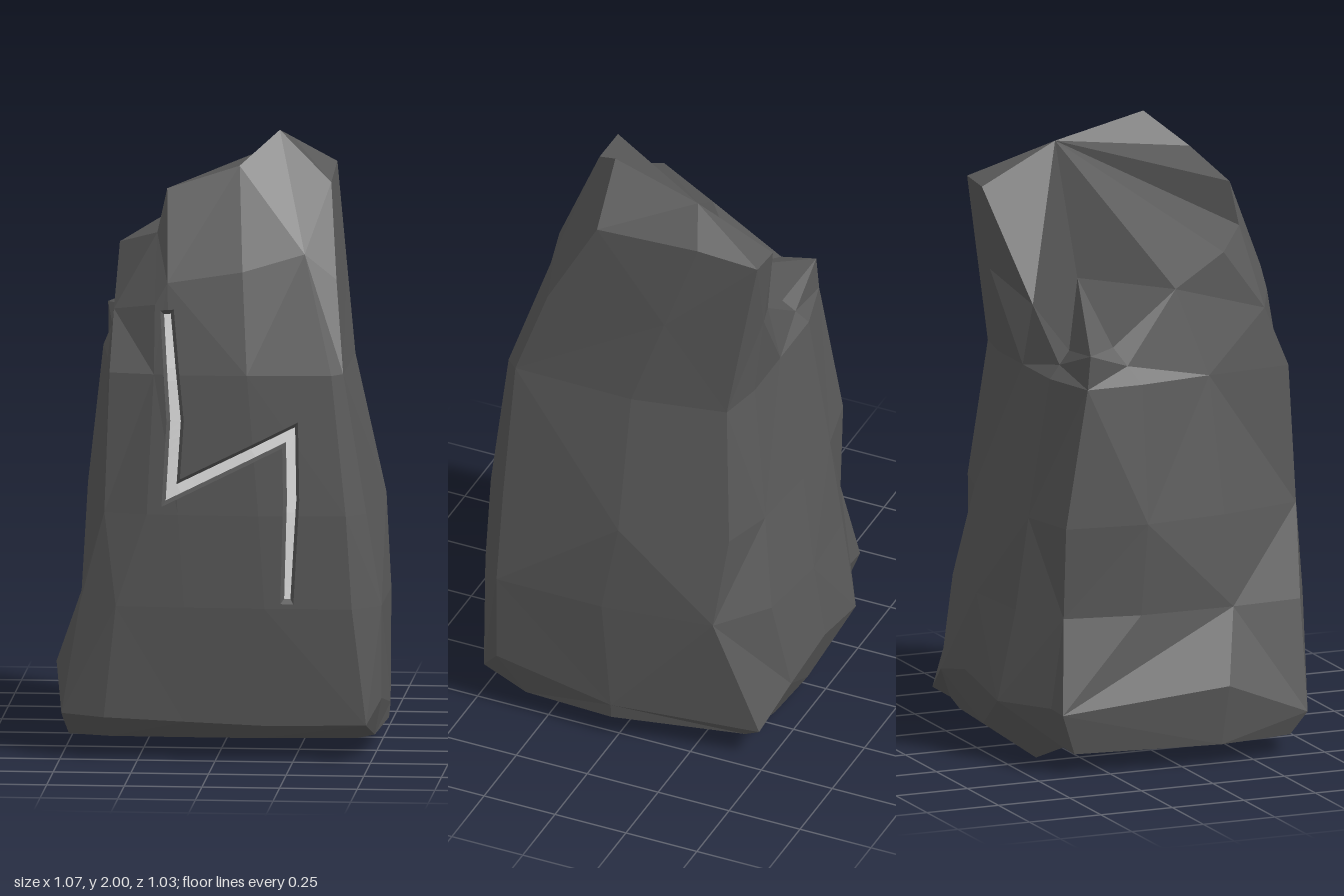
import * as THREE from 'three';

// Cross-sections [x, z, ...], running from the front left corner round past +x and the back
const sections = [
  { y: [0.14, 0.135, 0.125, 0.115, 0.12, 0.2, 0.12, 0.1, 0.2, 0.25, 0.2, 0.2, 0.2, 0.26],
    p: [-0.50, 0.44, -0.36, 0.485, -0.10, 0.49, 0.16, 0.49, 0.485, 0.485, 0.53, 0.42, 0.525, 0.02,
      0.44, -0.465, 0.28, -0.505, 0.05, -0.52, -0.20, -0.515, -0.37, -0.40, -0.475, -0.405, -0.54, 0.15] },
  { y: 0.5, p: [-0.44, 0.44, -0.32, 0.50, -0.10, 0.51, 0.16, 0.515, 0.44, 0.50, 0.53, 0.42, 0.53, 0.05,
    0.48, -0.32, 0.31, -0.45, 0.05, -0.48, -0.22, -0.46, -0.40, -0.37, -0.45, -0.12, -0.455, 0.20] },
  { y: 0.8, p: [-0.36, 0.46, -0.22, 0.50, -0.12, 0.505, 0.14, 0.51, 0.42, 0.49, 0.48, 0.42, 0.51, 0.00,
    0.42, -0.35, 0.25, -0.40, 0.00, -0.42, -0.22, -0.415, -0.42, -0.37, -0.46, -0.10, -0.43, 0.18] },
  { y: 1.25, p: [-0.345, 0.44, -0.20, 0.465, -0.15, 0.475, 0.10, 0.475, 0.37, 0.45, 0.405, 0.41, 0.41, 0.00,
    0.35, -0.31, 0.20, -0.34, 0.00, -0.34, -0.22, -0.34, -0.41, -0.29, -0.41, -0.10, -0.375, 0.15] },
];
// Broken upper rim [x, y, z, ...]
const rim = [-0.33, 1.64, 0.22, -0.20, 1.69, 0.33, -0.17, 1.83, 0.31, 0.06, 1.90, 0.27, 0.18, 2.00, 0.16,
  0.345, 1.83, 0.15, 0.335, 1.84, -0.20, 0.31, 1.81, -0.40, 0.19, 1.80, -0.40, 0.01, 1.44, -0.30,
  -0.19, 1.33, -0.26, -0.41, 1.36, -0.28, -0.36, 1.37, -0.18, -0.335, 1.535, 0.05];
const COLS = 14;
const V = (x, y, z) => new THREE.Vector3(x, y, z);

// Geometry from a flat list of triangle corners
function fromCorners(points) {
  const g = new THREE.BufferGeometry().setFromPoints(points);
  g.computeVertexNormals();
  return g;
}

// Corners of the uncut stone
function stoneCorners() {
  const rings = sections.map(({ y, p }) => Array.from({ length: COLS }, (_, i) =>
    V(p[2 * i], Array.isArray(y) ? y[i] : y, p[2 * i + 1])));
  const top = Array.from({ length: COLS }, (_, i) => V().fromArray(rim, 3 * i));

  // Slightly bulged ring halfway to the rim
  const shoulder = top.map((t, i) => {
    const m = t.clone().lerp(rings[3][i], 0.5);
    if (i < 6) m.z += 0.03;
    return m;
  });

  // Drawn-in foot with a low point at the back
  const foot = rings[0].map((v) => V(v.x * 0.96, 0.065, v.z * 0.88));
  foot[4].set(0.45, 0.065, 0.4);
  foot[5].set(0.5, 0.065, 0.33);
  foot[6].set(0.52, 0.07, 0.02);
  foot[10].set(-0.2, 0, -0.38);

  const all = [foot, ...rings, shoulder, top];
  const out = [];
  const crown = V(0.2, 1.925, -0.14);
  const hollow = V(-0.05, 1.53, -0.17);
  const base = V(0, 0.06, 0);
  for (let i = 0; i < COLS; i++) {
    const j = (i + 1) % COLS;
    for (let k = 0; k < all.length - 1; k++) {
      const [a, b, c, d] = [all[k][i], all[k][j], all[k + 1][j], all[k + 1][i]];
      if ((i + k) % 2) out.push(a, b, c, a, c, d);
      else out.push(a, b, d, b, c, d);
    }
    // Sloping crown, with the broken back left corner meeting in a hollow
    out.push(top[i], top[j], i >= 9 && i <= 12 ? hollow : crown);
    out.push(foot[j], foot[i], base);
  }
  out.push(top[9], hollow, crown, hollow, top[13], crown);
  return out;
}

// Left and right edge points of a zigzag with mitred corners
function zigzagEdges(path, widths) {
  const pts = path.map(([x, y]) => new THREE.Vector2(x, y));
  const normal = (a, b) => new THREE.Vector2(a.y - b.y, b.x - a.x).normalize();
  return pts.map((p, i) => {
    const n1 = normal(pts[Math.max(i - 1, 0)], pts[Math.max(i, 1)]);
    const n2 = i < pts.length - 1 ? normal(p, pts[i + 1]) : n1;
    const m = n1.clone().add(n2).normalize();
    m.multiplyScalar(widths[i] / 2 / m.dot(n2));
    return [p.clone().add(m), p.clone().sub(m)];
  });
}

// Split a polygon by the line a-b, seen from the front, into its left and right parts
function split(poly, a, b) {
  const side = (p) => (b.x - a.x) * (p.y - a.y) - (b.y - a.y) * (p.x - a.x);
  const left = [];
  const right = [];
  poly.forEach((p, i) => {
    const q = poly[(i + 1) % poly.length];
    const sp = side(p);
    const sq = side(q);
    (sp >= 0 ? left : right).push(p);
    if ((sp >= 0) !== (sq >= 0)) {
      const m = p.clone().lerp(q, sp / (sp - sq));
      left.push(m);
      right.push(m);
    }
  });
  return [left, right];
}

// Polygon minus a convex counter-clockwise quad
function subtract(poly, quad) {
  const out = [];
  let rest = poly;
  for (let i = 0; i < 4; i++) {
    const [left, right] = split(rest, quad[i], quad[(i + 1) % 4]);
    if (left.length < 3) return [poly];
    if (right.length > 2) out.push(right);
    rest = left;
  }
  return out;
}

export function createModel() {
  const group = new THREE.Group();
  group.name = 'carvedStone';
  const rock = new THREE.MeshStandardMaterial({ color: 0x595959, flatShading: true });
  rock.name = 'darkRock';
  const pale = new THREE.MeshStandardMaterial({ color: 0xffffff, flatShading: true });
  pale.name = 'paleInlay';

  // Outer lip and inner floor of the zigzag groove
  const floorPath = [[-0.16, 1.44], [-0.13, 1.1], [-0.143, 0.87], [0.24, 1.06], [0.245, 0.85], [0.232, 0.53]];
  const lipPath = floorPath.map((p) => [...p]);
  lipPath[0][1] += 0.015;
  lipPath[5][1] -= 0.015;
  const widths = [0.022, 0.034, 0.032, 0.03, 0.03, 0.02];
  const floor = zigzagEdges(floorPath, widths);
  const lip = zigzagEdges(lipPath, widths.map((w) => w + 0.022));

  // Cut the groove opening out of the front faces
  const corners = stoneCorners();
  const solid = new THREE.Mesh(fromCorners(corners), rock);
  const stonePoints = [];
  for (let t = 0; t < corners.length; t += 3) {
    const face = corners.slice(t, t + 3);
    let pieces = [face];
    if (new THREE.Triangle(...face).getNormal(V()).z > 0.3) {
      for (let s = 0; s < lip.length - 1; s++) {
        const quad = [lip[s][1], lip[s + 1][1], lip[s + 1][0], lip[s][0]];
        pieces = pieces.flatMap((p) => subtract(p, quad));
      }
    }
    for (const p of pieces) {
      for (let n = 1; n < p.length - 1; n++) stonePoints.push(p[0], p[n], p[n + 1]);
    }
  }

  // Sloping groove walls in rock and a pale floor
  const ray = new THREE.Raycaster();
  const DEPTH = 0.018;
  const STEPS = 8;
  const at = (edges, s, side, t, depth) => {
    const v = edges[s][side].clone().lerp(edges[s + 1][side], t / STEPS);
    ray.set(V(v.x, v.y, 2), V(0, 0, -1));
    return V(v.x, v.y, ray.intersectObject(solid)[0].point.z - depth);
  };
  const row = (s, t) => [at(lip, s, 0, t, 0), at(floor, s, 0, t, DEPTH), at(floor, s, 1, t, DEPTH), at(lip, s, 1, t, 0)];
  const floorPoints = [];
  const quad = (list, a, b, c, d) => list.push(a, b, c, a, c, d);
  const last = lip.length - 2;
  for (let s = 0; s <= last; s++) {
    for (let k = 0; k < STEPS; k++) {
      const p = row(s, k);
      const q = row(s, k + 1);
      for (let n = 0; n < 3; n++) quad(n === 1 ? floorPoints : stonePoints, p[n], p[n + 1], q[n + 1], q[n]);
    }
  }
  const first = row(0, 0);
  const end = row(last, STEPS);
  quad(stonePoints, first[0], first[3], first[2], first[1]);
  quad(stonePoints, end[1], end[2], end[3], end[0]);

  const stone = new THREE.Mesh(fromCorners(stonePoints), rock);
  stone.name = 'stone';
  const inlay = new THREE.Mesh(fromCorners(floorPoints), pale);
  inlay.name = 'zigzagInlay';
  group.add(stone, inlay);
  return group;
}
